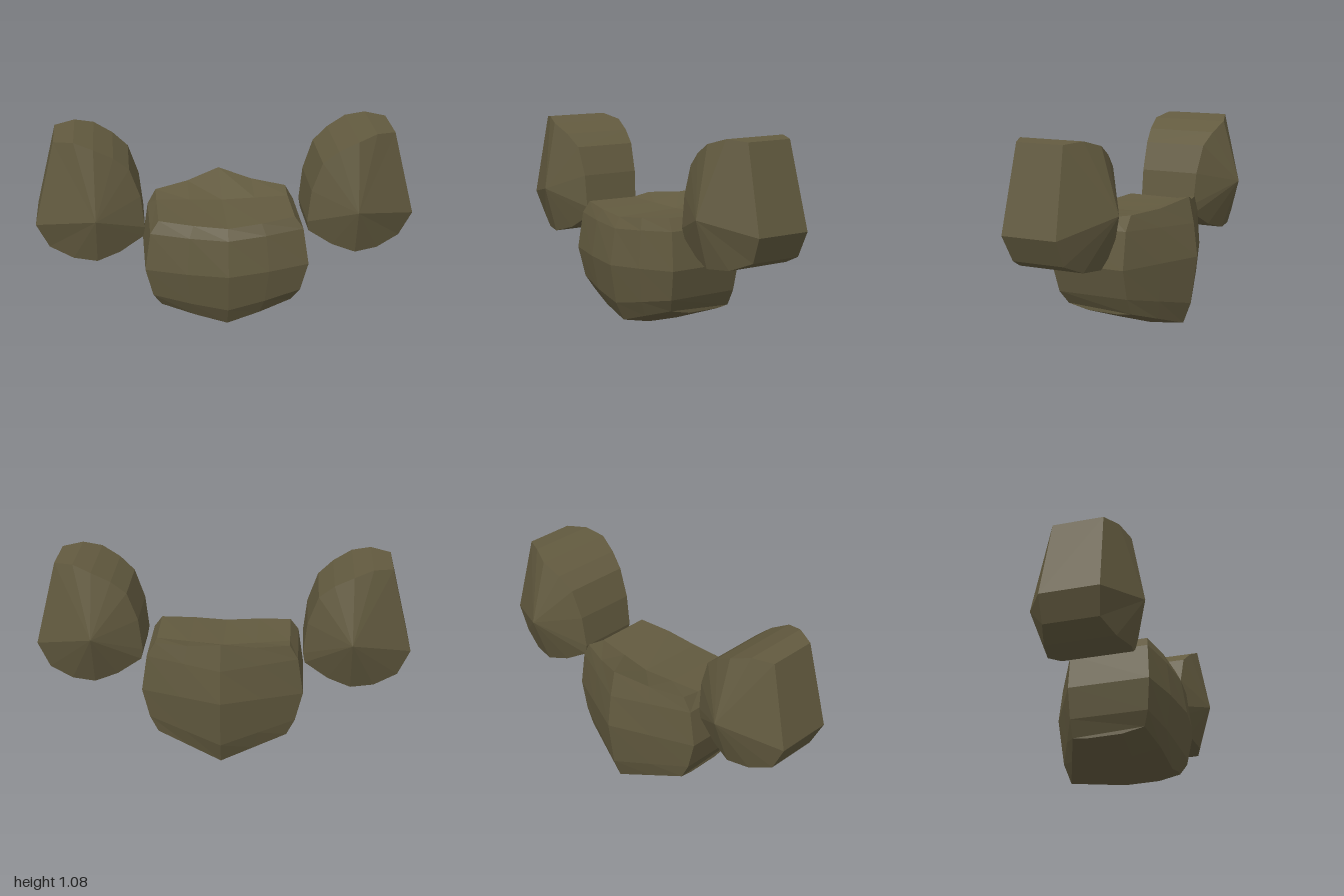
import * as THREE from 'three';

// Flat-faceted mesh from polygons of points; side = -1 mirrors it across x
function facetMesh(name, polygons, material, side = 1) {
  const pos = [];
  for (const poly of polygons) {
    const p = side < 0 ? [...poly].reverse() : poly;
    for (let i = 1; i < p.length - 1; i++) {
      for (const [x, y, z] of [p[0], p[i], p[i + 1]]) pos.push(x * side, y, z);
    }
  }
  const geo = new THREE.BufferGeometry();
  geo.setAttribute('position', new THREE.Float32BufferAttribute(pos, 3));
  geo.computeVertexNormals();
  const mesh = new THREE.Mesh(geo, material);
  mesh.name = name;
  return mesh;
}

// Side pad: rim of x, y, front z, back z, with a raised point on each face
function padPolygons() {
  const rim = [
    [0.89, 1.075, 0.18, -0.09], [0.785, 1.085, 0.23, -0.14], [0.685, 1.055, 0.265, -0.18],
    [0.585, 1.0, 0.245, -0.16], [0.505, 0.93, 0.225, -0.14], [0.45, 0.775, 0.22, -0.125],
    [0.43, 0.6, 0.22, -0.115], [0.44, 0.545, 0.21, -0.115], [0.565, 0.47, 0.235, -0.145],
    [0.685, 0.435, 0.265, -0.175], [0.81, 0.44, 0.225, -0.15], [0.935, 0.49, 0.18, -0.115],
    [1.0, 0.625, 0.2, -0.115],
  ];
  const frontPeak = [0.685, 0.685, 0.335], backPeak = [0.685, 0.715, -0.28];
  const polys = [];
  rim.forEach((a, i) => {
    const b = rim[(i + 1) % rim.length];
    const fa = [a[0], a[1], a[2]], fb = [b[0], b[1], b[2]];
    const ba = [a[0], a[1], a[3]], bb = [b[0], b[1], b[3]];
    polys.push([frontPeak, fa, fb], [backPeak, bb, ba], [fa, ba, bb, fb]);
  });
  return polys;
}

// Half of the centre body: sections from the middle out to the flat side
function bodyPolygons() {
  // Each loop runs down the front, along the bottom, up the back, over the top
  const middle = [
    [0, 0.61, 0.305], [0, 0.55, 0.335], [0, 0.355, 0.365], [0, 0.145, 0.33], [0, 0.045, 0.28],
    [0, 0.01, 0.11], [0, 0.003, -0.08],
    [0, 0.025, -0.28], [0, 0.14, -0.325], [0, 0.4, -0.362], [0, 0.58, -0.34], [0, 0.72, -0.31],
    [0, 0.62, -0.075],
  ];
  const outer = [
    [0.36, 0.645, 0.25], [0.405, 0.58, 0.265], [0.435, 0.38, 0.28], [0.395, 0.22, 0.26], [0.35, 0.15, 0.23],
    [0.35, 0.125, 0.11], [0.35, 0.122, -0.08],
    [0.35, 0.132, -0.155], [0.395, 0.22, -0.155], [0.435, 0.38, -0.155], [0.405, 0.58, -0.155], [0.36, 0.66, -0.16],
    [0.36, 0.642, -0.05],
  ];
  const between = middle.map((m, i) => {
    const p = m.map((v, k) => (v + outer[i][k]) / 2);
    if (i < 5) p[2] += 0.012; // rounder front
    if (i === 11) p[1] -= 0.014; // dipping rear rim
    return p;
  });
  const polys = [];
  for (const [A, B] of [[middle, between], [between, outer]]) {
    A.forEach((a, i) => {
      const j = (i + 1) % A.length;
      polys.push([a, A[j], B[j], B[i]]);
    });
  }
  // Side face
  const o = outer;
  polys.push([o[0], o[1], o[12]], [o[1], o[10], o[12]], [o[10], o[11], o[12]]);
  for (let i = 1; i < 5; i++) polys.push([o[i], o[i + 1], o[10 - i], o[11 - i]]);
  return polys;
}

export function createModel() {
  const group = new THREE.Group();
  group.name = 'paddedArmour';
  const olive = new THREE.MeshStandardMaterial({ color: 0x625a3f, flatShading: true });
  olive.name = 'darkOlive';
  for (const [label, side] of [['left', 1], ['right', -1]]) {
    group.add(facetMesh(label + 'Body', bodyPolygons(), olive, side));
    group.add(facetMesh(label + 'ShoulderPad', padPolygons(), olive, side));
  }
  return group;
}
